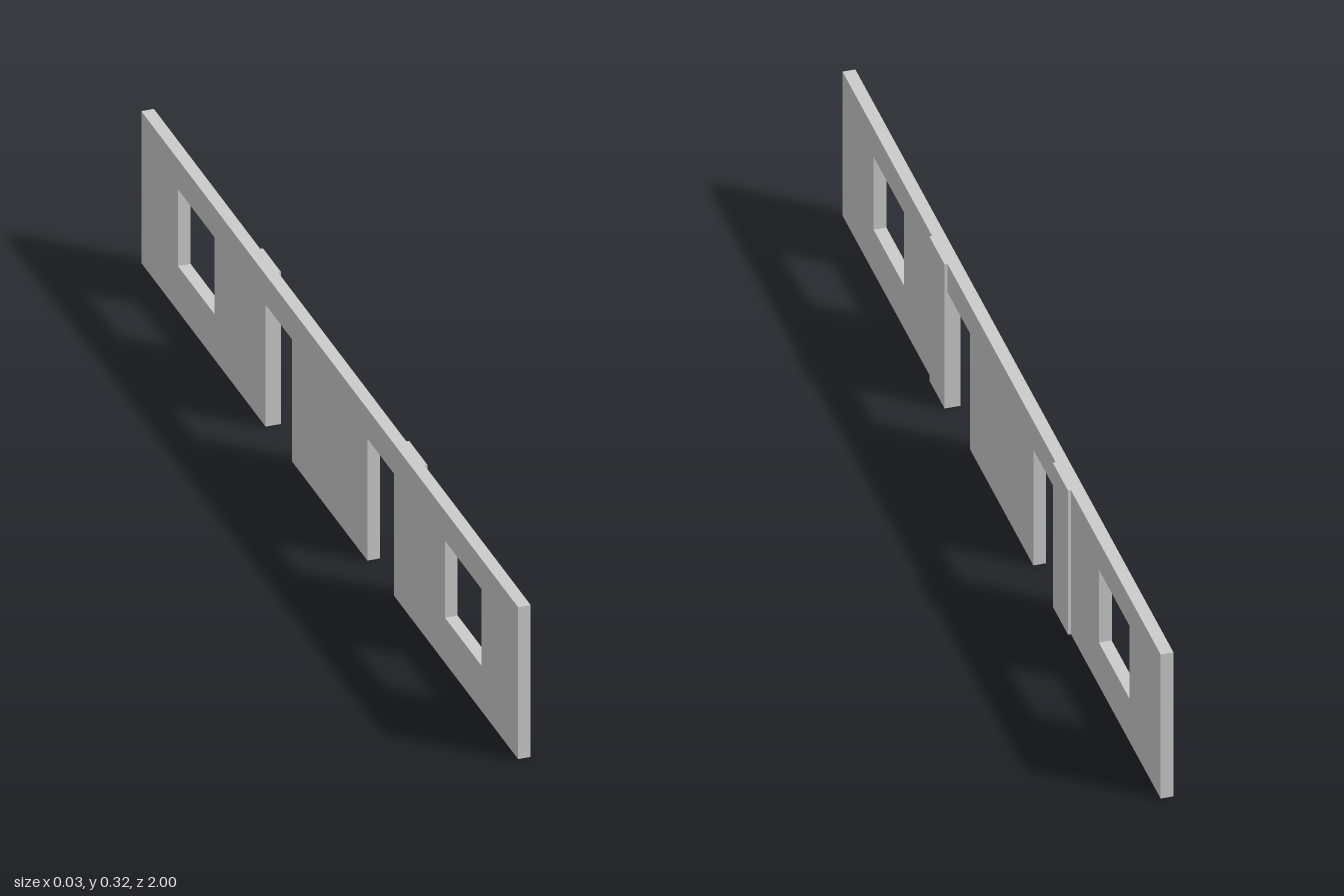
import * as THREE from 'three';

const HEIGHT = 0.316, OPENING_TOP = 0.254, SILL = 0.094;
const BACK = -0.015, FACE = 0.0095, PROUD = 0.015;
const DOOR = [0.2, 0.34], WINDOW = [0.612, 0.805], PILASTER = [0.34, 0.436];

export function createModel() {
  const group = new THREE.Group();
  const material = new THREE.MeshStandardMaterial({ color: 0xcccccc });

  // Wall outline along its length, with both doorways notched into the bottom edge
  const [d0, d1] = DOOR;
  const outline = new THREE.Shape([
    [-1, 0], [-d1, 0], [-d1, OPENING_TOP], [-d0, OPENING_TOP], [-d0, 0],
    [d0, 0], [d0, OPENING_TOP], [d1, OPENING_TOP], [d1, 0], [1, 0],
    [1, HEIGHT], [-1, HEIGHT],
  ].map(([u, y]) => new THREE.Vector2(u, y)));

  // Window openings, one near each end
  for (const side of [-1, 1]) {
    const [a, b] = WINDOW.map((u) => u * side);
    outline.holes.push(new THREE.Path([
      new THREE.Vector2(a, SILL), new THREE.Vector2(a, OPENING_TOP),
      new THREE.Vector2(b, OPENING_TOP), new THREE.Vector2(b, SILL),
    ]));
  }

  // Extrude the thickness, then turn the length onto z
  const wallGeometry = new THREE.ExtrudeGeometry(outline, { depth: FACE - BACK, bevelEnabled: false });
  wallGeometry.rotateY(Math.PI / 2).translate(BACK, 0, 0);
  const wall = new THREE.Mesh(wallGeometry, material);
  wall.name = 'wall';
  group.add(wall);

  // Shallow full-height pilasters beside the outer door jambs
  const [p0, p1] = PILASTER;
  for (const side of [-1, 1]) {
    const pilaster = new THREE.Mesh(new THREE.BoxGeometry(PROUD - FACE, HEIGHT, p1 - p0), material);
    pilaster.position.set((PROUD + FACE) / 2, HEIGHT / 2, side * (p0 + p1) / 2);
    pilaster.name = side > 0 ? 'frontPilaster' : 'backPilaster';
    group.add(pilaster);
  }

  return group;
}
